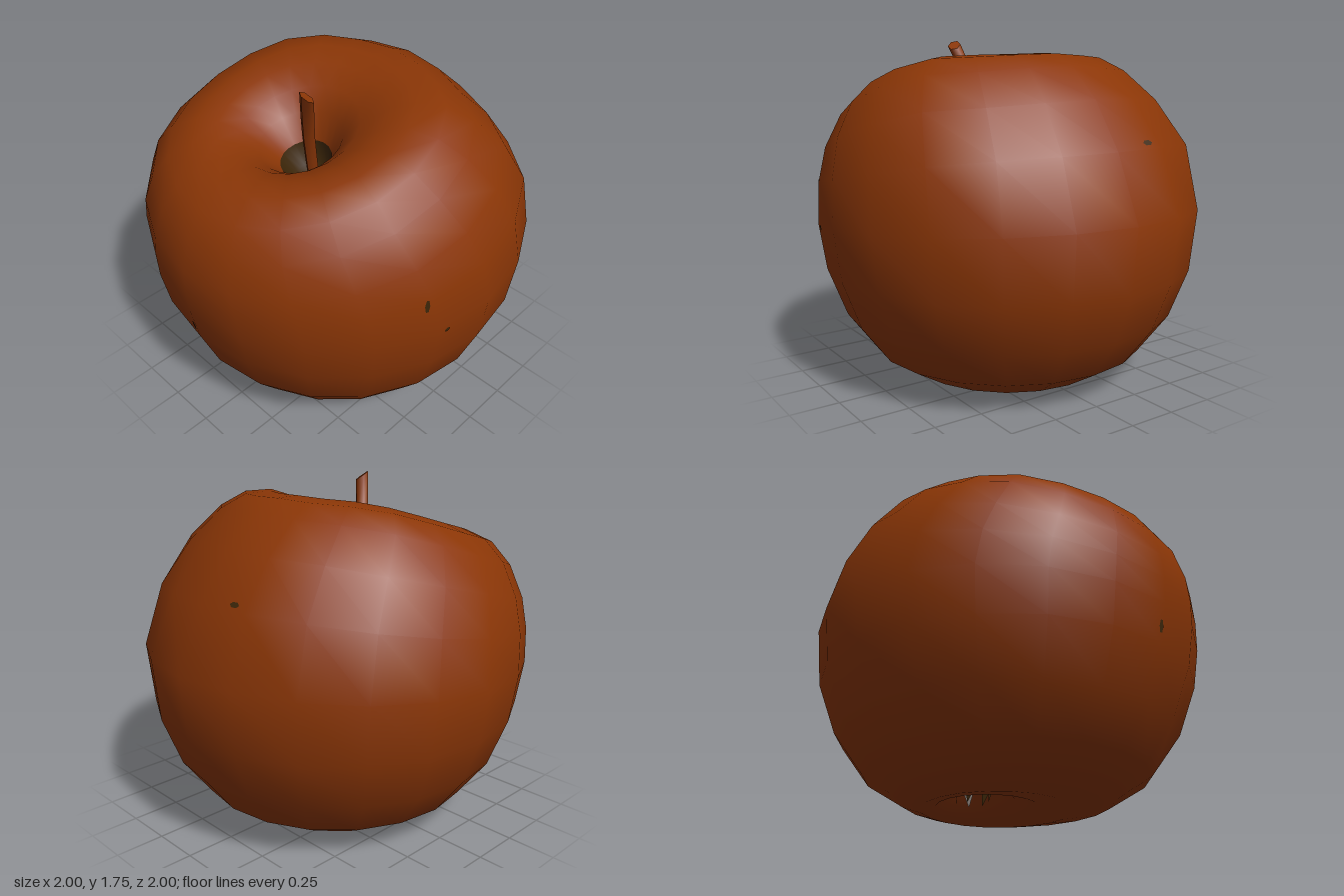
import * as THREE from 'three';
import { mergeVertices } from 'three/addons/utils/BufferGeometryUtils.js';

const CENTRE_Y = 0.835;
const SEGMENTS = 20;

const skin = new THREE.MeshStandardMaterial({ color: 0x8b3606 });
skin.name = 'russet brown';
const dark = new THREE.MeshStandardMaterial({ color: 0x3c2609, side: THREE.DoubleSide });
dark.name = 'dark core brown';

// Flattened spots of the fruit: direction and depth
const FLATS = [
  [new THREE.Vector3(0.1, 0.75, -0.65).normalize(), 0.08],
  [new THREE.Vector3(-0.68, 0.7, -0.1).normalize(), 0.035],
];

// Tips the crown forward, moves the dimples off centre and presses in the flats.
function shape(p) {
  const near = Math.max(0, 1 - Math.hypot(p.x, p.z) / 0.5);
  if (p.y > 0.2) p.z += 0.12 * near;
  if (p.y < -0.2) {
    p.x -= 0.14 * near;
    p.z -= 0.14 * near;
  }
  const tilt = 0.31 * THREE.MathUtils.smoothstep(p.y, -0.25, 0.7);
  p.applyAxisAngle(new THREE.Vector3(1, 0, 0), tilt);
  const dir = p.clone().normalize();
  for (const [axis, depth] of FLATS) {
    p.multiplyScalar(1 - depth * THREE.MathUtils.smoothstep(dir.dot(axis), 0.7, 1));
  }
  p.y += CENTRE_Y;
  return p;
}

// Turned profile, shaped, with smooth normals across the seam
function turned(name, profile, material) {
  let geo = new THREE.LatheGeometry(profile.map(([r, y]) => new THREE.Vector2(r, y)), SEGMENTS);
  geo.deleteAttribute('uv');
  geo.deleteAttribute('normal');
  geo = mergeVertices(geo, 1e-4);
  const pos = geo.attributes.position;
  const p = new THREE.Vector3();
  for (let i = 0; i < pos.count; i++) {
    shape(p.fromBufferAttribute(pos, i));
    pos.setXYZ(i, p.x, p.y, p.z);
  }
  geo.computeVertexNormals();
  const mesh = new THREE.Mesh(geo, material);
  mesh.name = name;
  return mesh;
}

export function createModel() {
  const apple = new THREE.Group();
  apple.name = 'apple';

  // Skin, from the rim of the lower dimple to the rim of the upper one
  const body = turned('skin', [
    [0.1, -0.7], [0.17, -0.775], [0.26, -0.815], [0.38, -0.83], [0.53, -0.795],
    [0.72, -0.68], [0.87, -0.48], [0.965, -0.23], [1, 0.03], [0.975, 0.27],
    [0.91, 0.47], [0.8, 0.645], [0.68, 0.745], [0.54, 0.78], [0.42, 0.765],
    [0.3, 0.715], [0.21, 0.635], [0.13, 0.51],
  ], skin);
  apple.add(body);

  // Dark floors of the two dimples
  apple.add(turned('stemHollow', [[0.13, 0.51], [0.09, 0.38], [0, 0.3]], dark));
  apple.add(turned('blossomHollow', [[0, -0.6], [0.06, -0.63], [0.1, -0.7]], dark));

  // Small dark blemishes: start point, inward direction, width, height
  const ray = new THREE.Raycaster();
  for (const [from, inward, w, h] of [
    [[-0.015, 0.68, 2], [0, 0, -1], 0.025, 0.07],
    [[2, 0.83, 0.26], [-1, 0, 0], 0.03, 0.03],
    [[2, 1.02, 0.37], [-1, 0, 0], 0.025, 0.08],
    [[-0.21, 3, -0.82], [0, -1, 0], 0.06, 0.03],
  ]) {
    ray.set(new THREE.Vector3(...from), new THREE.Vector3(...inward));
    const hit = ray.intersectObject(body)[0];
    const spot = new THREE.Mesh(new THREE.CircleGeometry(0.5, 6), dark);
    spot.name = 'blemish';
    spot.scale.set(w, h, 1);
    spot.position.copy(hit.point).addScaledVector(hit.face.normal, 0.003);
    spot.lookAt(hit.point.clone().add(hit.face.normal));
    apple.add(spot);
  }

  // Stem: slim, leaning, flared towards an oblique cut
  const path = new THREE.CatmullRomCurve3([
    new THREE.Vector3(0.0, 1.13, 0.17),
    new THREE.Vector3(0.04, 1.45, 0.24),
    new THREE.Vector3(0.13, 1.735, 0.33),
  ]);
  const stemGeo = new THREE.CylinderGeometry(0.034, 0.03, 1, 6, 4);
  const pos = stemGeo.attributes.position;
  for (let i = 0; i < pos.count; i++) {
    const t = pos.getY(i) + 0.5;
    const c = path.getPoint(t);
    const x = pos.getX(i), z = pos.getZ(i);
    const cut = t > 0.99 ? -0.5 * x + 0.5 * z : 0;
    pos.setXYZ(i, c.x + x, c.y + cut, c.z + z);
  }
  stemGeo.computeVertexNormals();
  const stem = new THREE.Mesh(stemGeo, skin);
  stem.name = 'stem';
  apple.add(stem);

  // Withered sepals in the lower dimple
  for (let i = 0; i < 5; i++) {
    const a = (i / 5) * Math.PI * 2;
    const at = (r, y, da) => shape(new THREE.Vector3(r * Math.cos(a + da), y, r * Math.sin(a + da)));
    const geo = new THREE.BufferGeometry().setFromPoints(
      [at(0.1, -0.68, -0.45), at(0.1, -0.68, 0.45), at(0.06 + 0.03 * (i % 2), -0.8, 0.2)]);
    geo.computeVertexNormals();
    const sepal = new THREE.Mesh(geo, dark);
    sepal.name = 'sepal';
    apple.add(sepal);
  }

  // Stand on the ground and centre
  const box = new THREE.Box3().setFromObject(apple);
  const mid = box.getCenter(new THREE.Vector3());
  apple.position.set(-mid.x, -box.min.y, -mid.z);
  return apple;
}
